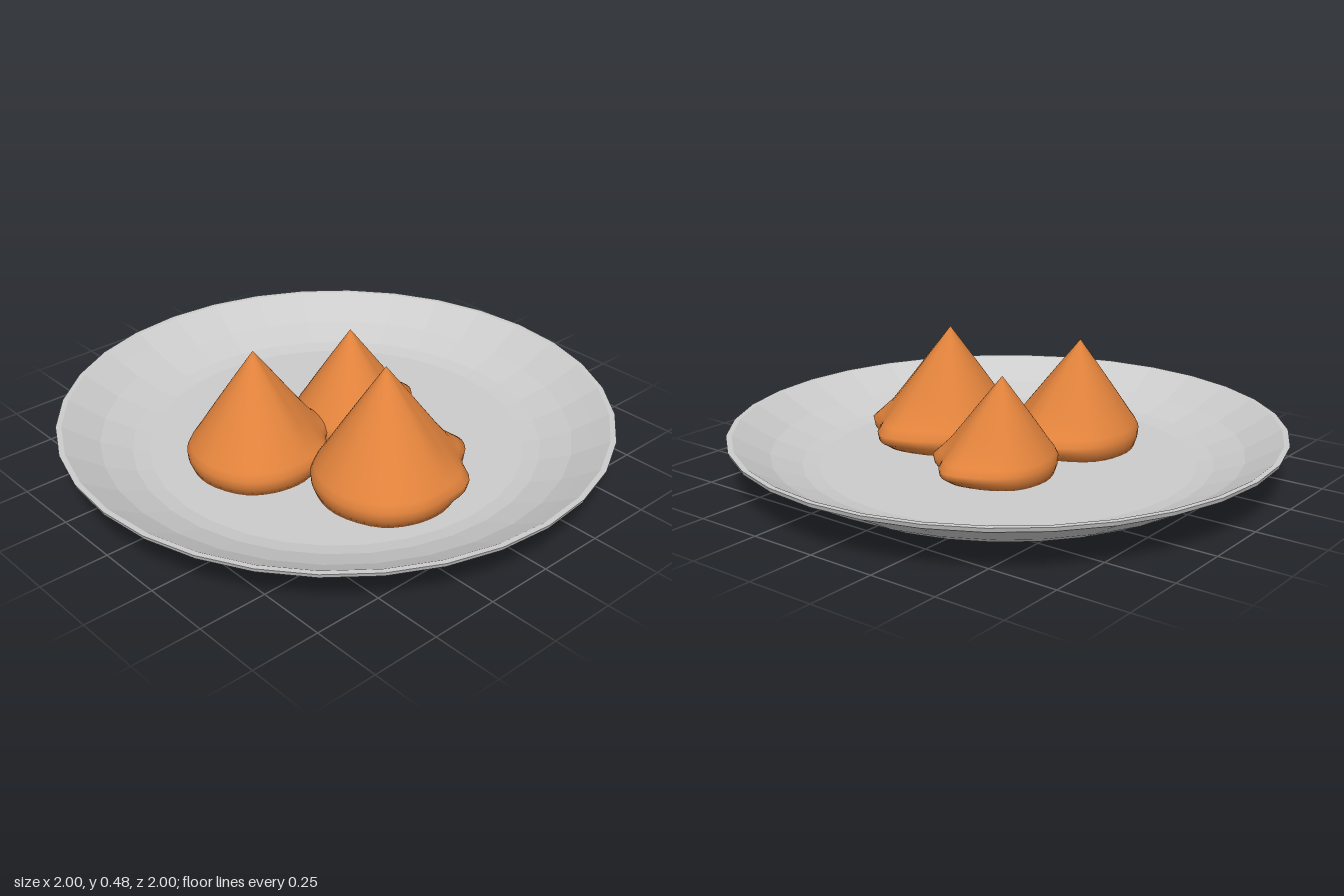
import * as THREE from 'three';

const SIDES = 48;
const FLOOR = 0.045;

// Shallow plate: underside, rim and inner bowl in one turned profile
function makePlate() {
  const profile = [
    [0, 0], [0.68, 0], [0.73, 0.015], [0.82, 0.06], [0.91, 0.11], [0.995, 0.155],
    [1, 0.17], [0.98, 0.17], [0.92, 0.135], [0.85, 0.095], [0.74, 0.055], [0.68, FLOOR], [0, FLOOR],
  ].map(([r, y]) => new THREE.Vector2(r, y));
  const plate = new THREE.Mesh(
    new THREE.LatheGeometry(profile, 32),
    new THREE.MeshStandardMaterial({ color: 0xcccccc, flatShading: true })
  );
  plate.name = 'plate';
  return plate;
}

// Pointed mound with a rounded front and a lobed hem at the back.
// The hem outline is [x, z, k]; k pulls the upper cone in above each lobe.
function makeMoundGeometry() {
  const hem = [
    [0.06, -0.305, 0.84], [0.13, -0.27, 0.9], [0.18, -0.2, 1], [0.285, -0.125, 0.88],
    [0.31, 0, 1], [0.3, 0.13, 1], [0.23, 0.24, 1], [0.07, 0.3, 1], [-0.07, 0.27, 1],
    [-0.16, 0.19, 1], [-0.225, 0.03, 1], [-0.2, -0.14, 0.97], [-0.1, -0.245, 0.9],
  ].map(([x, z, k]) => new THREE.Vector3(x, k, z));
  const outline = new THREE.CatmullRomCurve3(hem, true).getPoints(SIDES).slice(0, SIDES);

  // [drop below the tip, scale of the outline, share of the hem lobes]
  const rings = [
    [0.025, 0.07, 0], [0.1, 0.28, 0], [0.18, 0.5, 0], [0.25, 0.69, 0.05], [0.31, 0.85, 0.2],
    [0.345, 0.95, 0.6], [0.37, 1, 1], [0.4, 0.99, 0.9], [0.435, 0.94, 0],
  ];
  const pos = [0, 0, 0];
  for (const [drop, scale, lobes] of rings) {
    for (const p of outline) {
      const s = scale * THREE.MathUtils.lerp(p.y, 1, lobes);
      pos.push(p.x * s, -drop, p.z * s);
    }
  }
  const last = pos.length / 3;
  pos.push(0.03, -0.435, 0);

  const index = [];
  const at = (ring, i) => 1 + ring * SIDES + (i % SIDES);
  for (let i = 0; i < SIDES; i++) {
    index.push(0, at(0, i + 1), at(0, i));
    for (let r = 0; r < rings.length - 1; r++) {
      const a = at(r, i), b = at(r, i + 1), c = at(r + 1, i), d = at(r + 1, i + 1);
      index.push(a, b, c, b, d, c);
    }
    index.push(last, at(rings.length - 1, i), at(rings.length - 1, i + 1));
  }
  const geometry = new THREE.BufferGeometry();
  geometry.setAttribute('position', new THREE.Float32BufferAttribute(pos, 3));
  geometry.setIndex(index);
  geometry.computeVertexNormals();
  return geometry;
}

export function createModel() {
  const model = new THREE.Group();
  model.name = 'plateOfMounds';
  model.add(makePlate());

  // Three mounds of one shape in different sizes, placed by their tips
  const geometry = makeMoundGeometry();
  const material = new THREE.MeshStandardMaterial({ color: 0xe0823c, side: THREE.DoubleSide });
  const mounds = [
    ['largeMound', 0.31, 0.48, 0.055, 1],
    ['mediumMound', -0.12, 0.45, 0.28, 0.93],
    ['smallMound', -0.09, 0.4, -0.15, 0.815],
  ];
  for (const [name, x, y, z, size] of mounds) {
    const mound = new THREE.Mesh(geometry, material);
    mound.name = name;
    mound.position.set(x, y, z);
    mound.scale.setScalar(size);
    model.add(mound);
  }
  return model;
}
